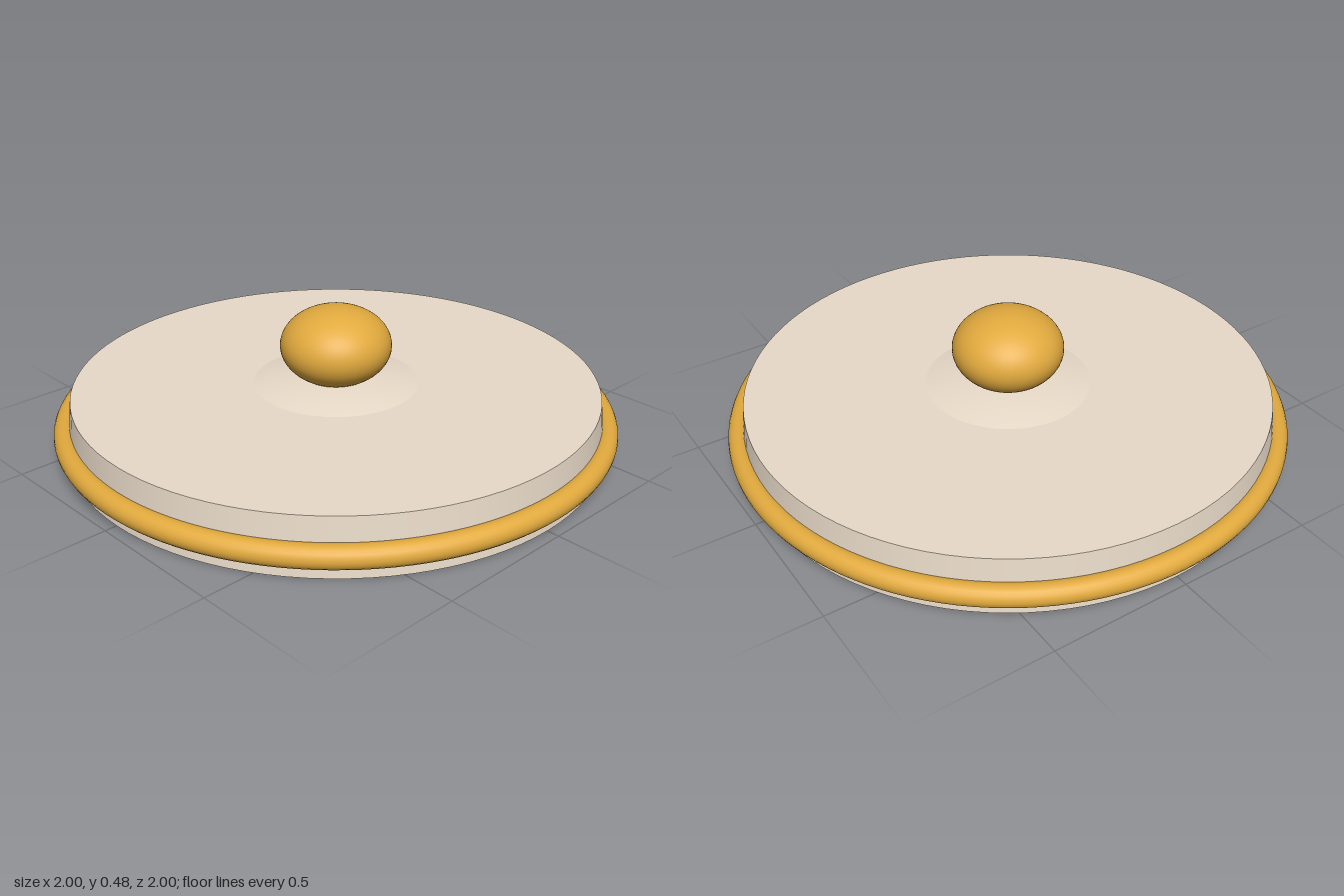
import * as THREE from 'three';

export function createModel() {
  const group = new THREE.Group();
  const cream = new THREE.MeshStandardMaterial({ color: 0xe8dac8 });
  const gold = new THREE.MeshStandardMaterial({ color: 0xe2aa3e });

  const add = (name, geometry, material, y) => {
    const mesh = new THREE.Mesh(geometry, material);
    mesh.name = name;
    mesh.position.y = y;
    group.add(mesh);
    return mesh;
  };

  // Slightly tapered lid plate
  add('lidPlate', new THREE.CylinderGeometry(0.935, 0.957, 0.2, 96), cream, 0.1);

  // Gold band around the edge
  const band = add('rimBand', new THREE.TorusGeometry(0.96, 0.04, 20, 128), gold, 0.08);
  band.rotation.x = Math.PI / 2;

  // Shallow swelling under the knob
  const profile = [];
  for (let i = 0; i <= 12; i++) {
    const r = 0.295 * (1 - i / 12);
    profile.push(new THREE.Vector2(r, 0.033 * (1 - (r / 0.295) ** 2)));
  }
  add('knobBase', new THREE.LatheGeometry(profile, 64), cream, 0.2);

  // Flattened round knob
  const knob = add('knob', new THREE.SphereGeometry(0.198, 48, 32), gold, 0.34);
  knob.scale.y = 0.14 / 0.198;

  return group;
}
